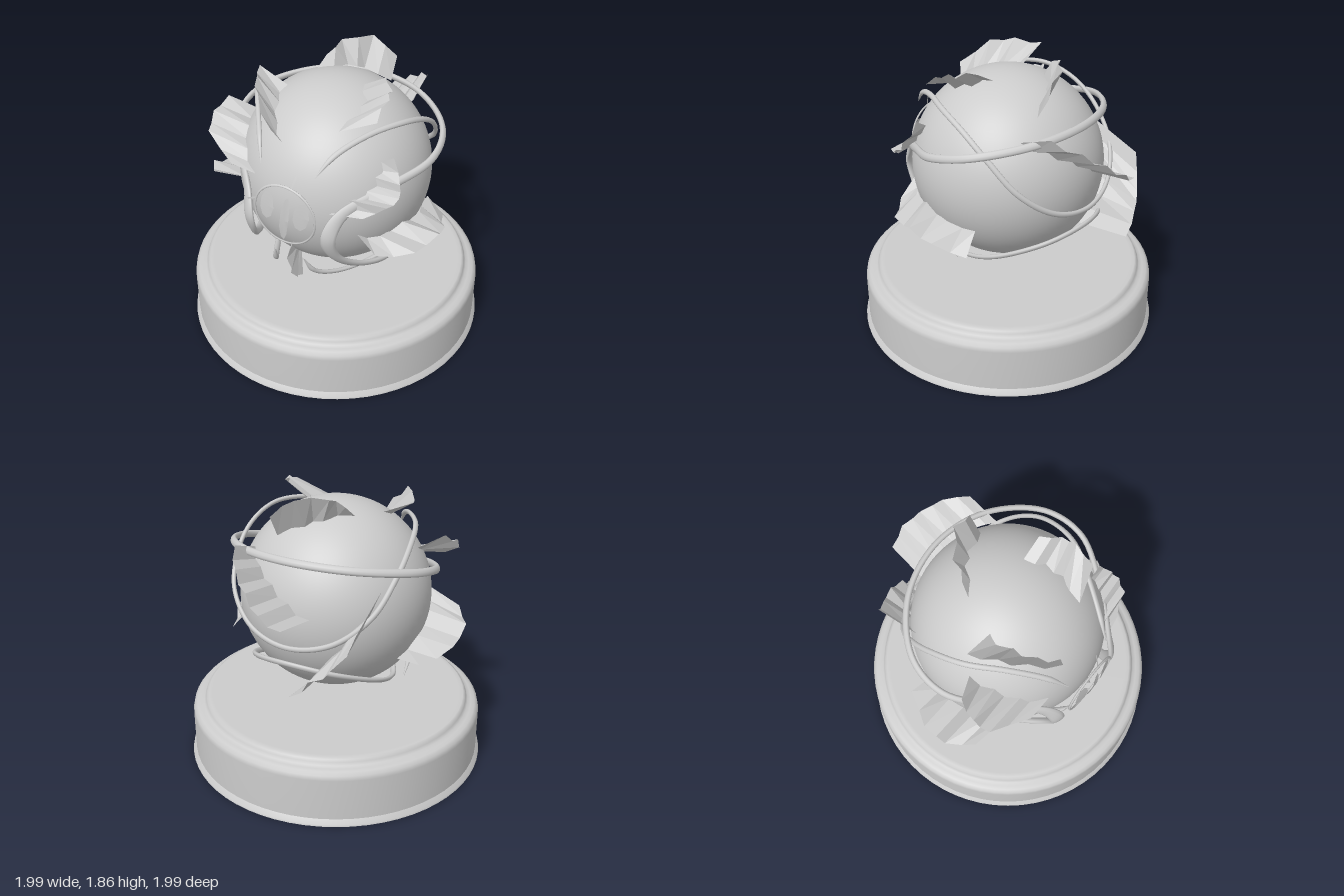
import * as THREE from 'three';

const CENTER = new THREE.Vector3(0, 1.14, 0);
const material = new THREE.MeshStandardMaterial({ color: 0xcccccc, side: THREE.DoubleSide });
const facetMaterial = new THREE.MeshStandardMaterial({ color: 0xcccccc, side: THREE.DoubleSide, flatShading: true });
const vec = (p) => new THREE.Vector3(...p);

function addMesh(parent, name, geometry, mat = material) {
  const mesh = new THREE.Mesh(geometry, mat);
  mesh.name = name;
  parent.add(mesh);
  return mesh;
}

function indexed(positions, index) {
  const g = new THREE.BufferGeometry();
  g.setAttribute('position', new THREE.Float32BufferAttribute(positions, 3));
  g.setIndex(index);
  g.computeVertexNormals();
  return g;
}

// Band through a half path and its mirror image, joined behind the globe and tapered at both tips.
// The section is wide along the globe and thin away from it; width(t) runs from tip (0) to back (1).
function bandGeometry(half, width, thickness) {
  const mirrored = half.slice(0, -1).reverse().map(([x, y, z]) => [-x, y, z]);
  const curve = new THREE.CatmullRomCurve3([...half, ...mirrored].map(vec));
  const steps = 160, ring = 10, pos = [], index = [];
  for (let i = 0; i <= steps; i++) {
    const u = i / steps, t = 1 - Math.abs(2 * u - 1);
    const p = curve.getPoint(u), tan = curve.getTangent(u);
    const across = tan.clone().cross(p.clone().sub(CENTER)).normalize();
    const out = across.clone().cross(tan);
    const taper = Math.min(1, 0.12 + t * 8);
    for (let j = 0; j < ring; j++) {
      const a = (j / ring) * Math.PI * 2;
      const q = p.clone()
        .addScaledVector(out, Math.cos(a) * thickness * taper)
        .addScaledVector(across, Math.sin(a) * width(t) * taper);
      pos.push(q.x, q.y, q.z);
      if (i < steps) {
        const a0 = i * ring + j, b0 = i * ring + ((j + 1) % ring);
        index.push(a0, b0, a0 + ring, b0, b0 + ring, a0 + ring);
      }
    }
  }
  return indexed(pos, index);
}

// Pleated sheet between an inner edge at the globe and a flared outer edge.
function shardGeometry(inner, outer) {
  const pos = [], index = [], cols = inner.length * 2 - 1;
  for (let i = 0; i < cols; i++) {
    const k = Math.floor(i / 2), next = k + (i % 2);
    const a = vec(inner[k]).lerp(vec(inner[next]), 0.5);
    const b = vec(outer[k]).lerp(vec(outer[next]), 0.5);
    if (i % 2) {
      const along = vec(inner[next]).sub(vec(inner[k]));
      const fold = along.cross(b.clone().sub(a)).normalize().multiplyScalar(0.026);
      a.add(fold);
      b.add(fold);
    }
    pos.push(...a.toArray(), ...b.toArray());
    if (i) index.push(2 * i - 2, 2 * i - 1, 2 * i, 2 * i - 1, 2 * i + 1, 2 * i);
  }
  return indexed(pos, index);
}

// Wraps a flat geometry onto a shell just in front of the globe.
function wrapOnShell(geometry, radius) {
  const p = geometry.attributes.position;
  for (let i = 0; i < p.count; i++) {
    const x = p.getX(i), y = p.getY(i);
    p.setXYZ(i, x, y + 1.15, p.getZ(i) + Math.sqrt(radius * radius - x * x - y * y));
  }
  geometry.computeVertexNormals();
  return geometry;
}

export function createModel() {
  const model = new THREE.Group();
  model.name = 'globeTrophy';

  // Turned base; repeated points keep the edges sharp
  const profile = [[0, 0], [0.995, 0], [0.995, 0], [0.992, 0.012], [0.972, 0.04], [0.972, 0.04], [0.972, 0.32],
    [0.965, 0.35], [0.945, 0.368], [0.92, 0.372], [0.897, 0.378], [0.885, 0.395], [0.88, 0.412],
    [0.865, 0.42], [0.84, 0.42], [0.84, 0.42], [0, 0.42]];
  addMesh(model, 'base', new THREE.LatheGeometry(profile.map(([x, y]) => new THREE.Vector2(x, y)), 64));

  // Globe
  const globe = addMesh(model, 'globe', new THREE.SphereGeometry(0.62, 64, 40));
  globe.position.copy(CENTER);

  // Swooping bands
  const bands = {
    wideBand: {
      points: [[0.5, 0.62, 0], [0.44, 0.655, 0.22], [0.36, 0.74, 0.42], [0.29, 0.88, 0.57], [0.275, 1.04, 0.63],
        [0.32, 1.18, 0.56], [0.5, 1.3, 0.34], [0.67, 1.39, 0.05], [0.63, 1.455, -0.22], [0.36, 1.51, -0.48], [0, 1.53, -0.57]],
      width: (t) => 0.026 + 0.022 * Math.exp(-(((t - 0.42) / 0.12) ** 2)), thickness: 0.018,
    },
    upperBand: {
      points: [[0.18, 1.44, 0.61], [0.25, 1.55, 0.5], [0.38, 1.625, 0.3], [0.5, 1.63, 0.1], [0.55, 1.56, -0.1],
        [0.55, 1.43, -0.28], [0.48, 1.23, -0.46], [0.28, 1.06, -0.59], [0, 1.0, -0.64]],
      width: () => 0.018, thickness: 0.014,
    },
    lowerBand: {
      points: [[0.1, 0.82, 0.62], [0.14, 0.7, 0.56], [0.22, 0.62, 0.42], [0.33, 0.585, 0.2], [0.42, 0.61, 0],
        [0.44, 0.7, -0.25], [0.28, 0.83, -0.53], [0, 0.885, -0.63]],
      width: () => 0.02, thickness: 0.014,
    },
  };
  for (const [name, b] of Object.entries(bands)) {
    addMesh(model, name, bandGeometry(b.points, b.width, b.thickness));
  }

  // Pleated shards: inner edge, outer edge
  const shards = {
    topShard: [
      [[-0.2, 1.71, -0.13], [-0.06, 1.7, -0.28], [0.03, 1.67, -0.34], [0.2, 1.6, -0.38]],
      [[-0.17, 1.78, -0.2], [-0.12, 1.85, -0.31], [0.04, 1.86, -0.44], [0.2, 1.74, -0.46]]],
    upperLeftShard: [
      [[0.18, 1.74, -0.03], [0.24, 1.69, 0.08], [0.26, 1.65, 0.2], [0.21, 1.63, 0.37]],
      [[0.32, 1.82, -0.03], [0.41, 1.8, 0.07], [0.43, 1.79, 0.16], [0.42, 1.71, 0.3]]],
    upperRightShard: [
      [[-0.28, 1.68, 0.1], [-0.24, 1.63, 0.25], [-0.19, 1.58, 0.38], [-0.1, 1.52, 0.48]],
      [[-0.48, 1.77, 0.1], [-0.4, 1.79, 0.26], [-0.31, 1.77, 0.4], [-0.15, 1.63, 0.53]]],
    sideRightShard: [
      [[-0.5, 1.47, 0.12], [-0.45, 1.43, 0.28], [-0.38, 1.36, 0.42], [-0.27, 1.29, 0.54]],
      [[-0.66, 1.56, 0.2], [-0.7, 1.5, 0.32], [-0.68, 1.41, 0.42], [-0.44, 1.31, 0.54]]],
    lowerRightShard: [
      [[-0.54, 0.86, -0.21], [-0.58, 0.94, 0], [-0.57, 1.03, 0.2], [-0.46, 1.12, 0.4]],
      [[-0.7, 0.87, -0.24], [-0.83, 0.92, -0.01], [-0.84, 1.0, 0.18], [-0.73, 1.04, 0.34]]],
    sideLeftShard: [
      [[0.23, 1.18, 0.57], [0.31, 1.27, 0.5], [0.39, 1.31, 0.42], [0.42, 1.38, 0.36], [0.45, 1.45, 0.29]],
      [[0.45, 1.19, 0.53], [0.58, 1.28, 0.48], [0.62, 1.31, 0.4], [0.6, 1.37, 0.35], [0.53, 1.5, 0.29]]],
    lowerLeftShard: [
      [[0.39, 1.01, 0.47], [0.49, 0.96, 0.36], [0.56, 0.99, 0.2], [0.6, 0.94, 0], [0.57, 0.93, -0.2]],
      [[0.52, 0.9, 0.48], [0.72, 0.9, 0.34], [0.79, 0.93, 0.14], [0.77, 0.87, -0.02], [0.68, 0.8, -0.22]]],
    bottomShard: [
      [[0, 0.88, 0.56], [-0.04, 0.74, 0.47], [-0.08, 0.64, 0.37], [-0.1, 0.59, 0.3], [-0.13, 0.56, 0.23]],
      [[-0.03, 0.8, 0.57], [-0.03, 0.63, 0.55], [-0.04, 0.49, 0.46], [-0.06, 0.43, 0.36], [-0.19, 0.43, 0.23]]],
    backUpperShard: [
      [[0.36, 1.5, -0.38], [0.25, 1.43, -0.5], [0.13, 1.36, -0.56], [0, 1.28, -0.6], [-0.14, 1.2, -0.6]],
      [[0.36, 1.58, -0.6], [0.26, 1.5, -0.75], [0.14, 1.41, -0.84], [0.02, 1.32, -0.9], [-0.11, 1.24, -0.88]]],
    backLowerShard: [
      [[-0.13, 0.77, -0.48], [-0.25, 0.95, -0.53], [-0.38, 1.15, -0.48], [-0.48, 1.36, -0.31]],
      [[-0.13, 0.8, -0.84], [-0.25, 0.92, -0.82], [-0.37, 1.0, -0.76], [-0.48, 1.2, -0.67]]],
  };
  for (const [name, [inner, outer]] of Object.entries(shards)) {
    addMesh(model, name, shardGeometry(inner, outer), facetMaterial);
  }

  // Front ornament: thin ring, tilted axis pins and plain raised patches
  const ornament = new THREE.Group();
  ornament.name = 'frontOrnament';
  model.add(ornament);
  addMesh(ornament, 'ring', wrapOnShell(new THREE.TorusGeometry(0.205, 0.007, 6, 64), 0.69));
  for (const [x, y, length, angle] of [[0.06, 0.24, 0.12, -0.25], [-0.045, -0.22, 0.07, -0.25], [-0.235, 0.04, 0.09, -1.0]]) {
    const pin = new THREE.PlaneGeometry(0.01, length, 1, 4);
    pin.rotateZ(angle).translate(x, y, 0);
    addMesh(ornament, 'pin', wrapOnShell(pin, 0.69));
  }
  for (const [x, y, w, h] of [[-0.11, 0.05, 0.05, 0.1], [0.01, -0.02, 0.03, 0.17], [0.12, 0.03, 0.05, 0.1]]) {
    const patch = new THREE.CircleGeometry(1, 9);
    patch.scale(w, h, 1).rotateZ(-0.15).translate(x, y, 0);
    addMesh(ornament, 'patch', wrapOnShell(patch, 0.69));
  }

  return model;
}
